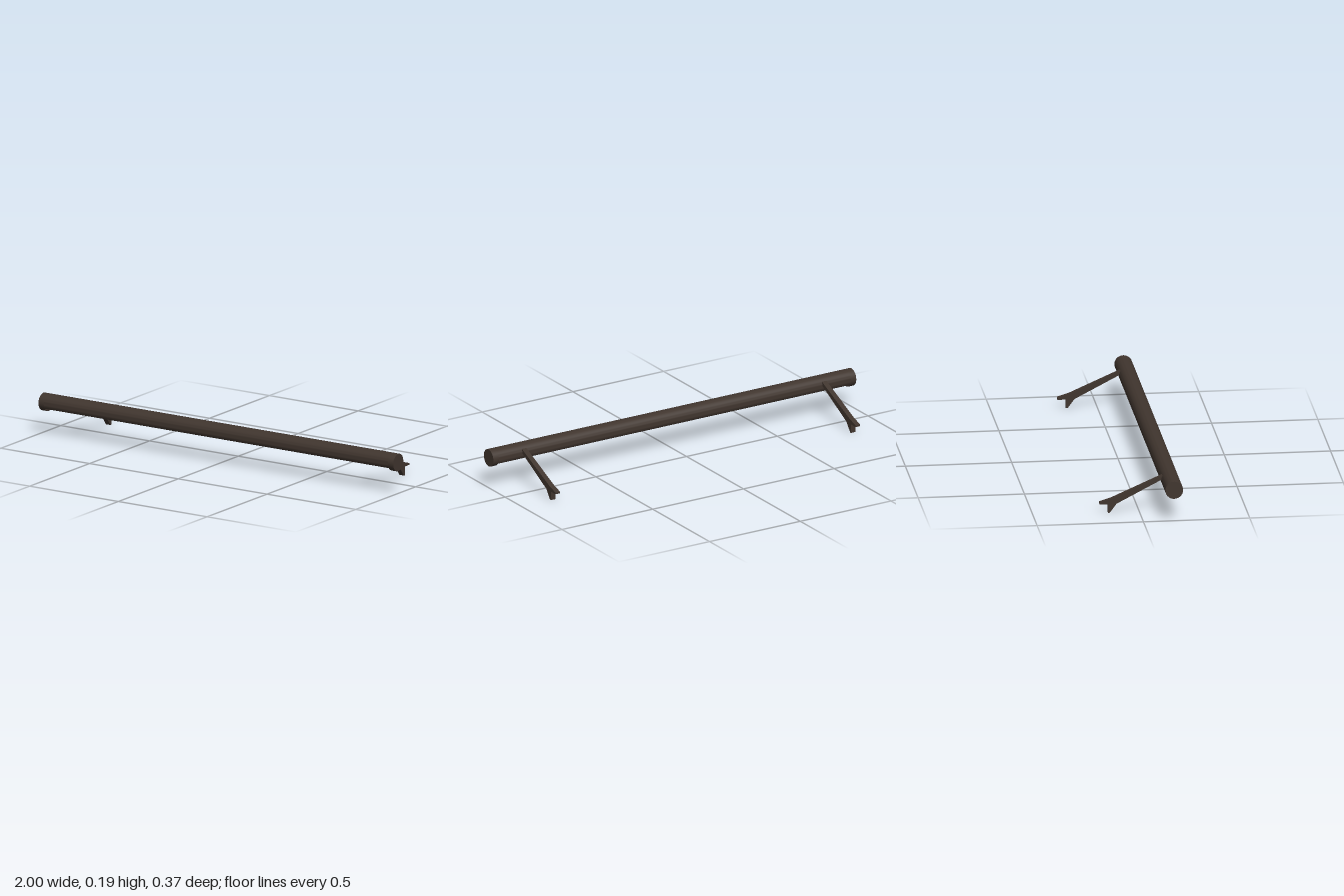
import * as THREE from 'three';
import { toCreasedNormals } from 'three/addons/utils/BufferGeometryUtils.js';

const CY = 0.149, CZ = 0.145, R = 0.042; // lamp axis and radius
const CAP = 0.03;                        // end cap length

const brown = new THREE.MeshStandardMaterial({ color: 0x40352e });
const yellow = new THREE.MeshStandardMaterial({ color: 0xb8a830 });

// Extrude a (z, y) profile along x, centred on x = 0
function extrudeX(shape, width) {
  const g = new THREE.ExtrudeGeometry(shape, { depth: width, bevelEnabled: false, curveSegments: 14 });
  g.translate(0, 0, -width / 2);
  g.rotateY(-Math.PI / 2);
  return toCreasedNormals(g, 0.6);
}

export function createModel() {
  const model = new THREE.Group();
  model.name = 'wallLamp';

  const add = (name, geometry, material, x, y = 0, z = 0) => {
    const mesh = new THREE.Mesh(geometry, material);
    mesh.name = name;
    mesh.position.set(x, y, z);
    model.add(mesh);
  };

  // Curved housing, open along the underside
  const a = THREE.MathUtils.degToRad(-35), b = Math.PI - a;
  const arc = new THREE.Shape();
  arc.absarc(0, 0, R, a, b, false);
  arc.absarc(0, 0, R * 0.83, b, a, true);
  arc.closePath();
  add('housing', extrudeX(arc, 2 - 2 * CAP), brown, 0, CY, CZ);

  // Light tube inside the housing
  const tube = new THREE.CylinderGeometry(0.016, 0.016, 2 - 2 * CAP, 20).rotateZ(Math.PI / 2);
  add('lightTube', tube, yellow, 0, CY, CZ);

  // Arm profile with a forked foot
  const arm = new THREE.Shape([
    [0.109, 0.173], [0.107, 0.154], [-0.107, 0.043], [-0.139, 0], [-0.147, 0],
    [-0.147, 0.042], [-0.187, 0.042], [-0.187, 0.05], [-0.132, 0.067],
  ].map(([z, y]) => new THREE.Vector2(z, y)));
  const armGeometry = extrudeX(arm, 0.025);
  const capGeometry = new THREE.CylinderGeometry(R, R, CAP, 28).rotateZ(Math.PI / 2);

  // Matching end cap and arm on each side
  for (const [side, s] of [['left', 1], ['right', -1]]) {
    add(side + 'EndCap', capGeometry, brown, s * (1 - CAP / 2), CY, CZ);
    add(side + 'Arm', armGeometry, brown, s * 0.827);
  }
  return model;
}
